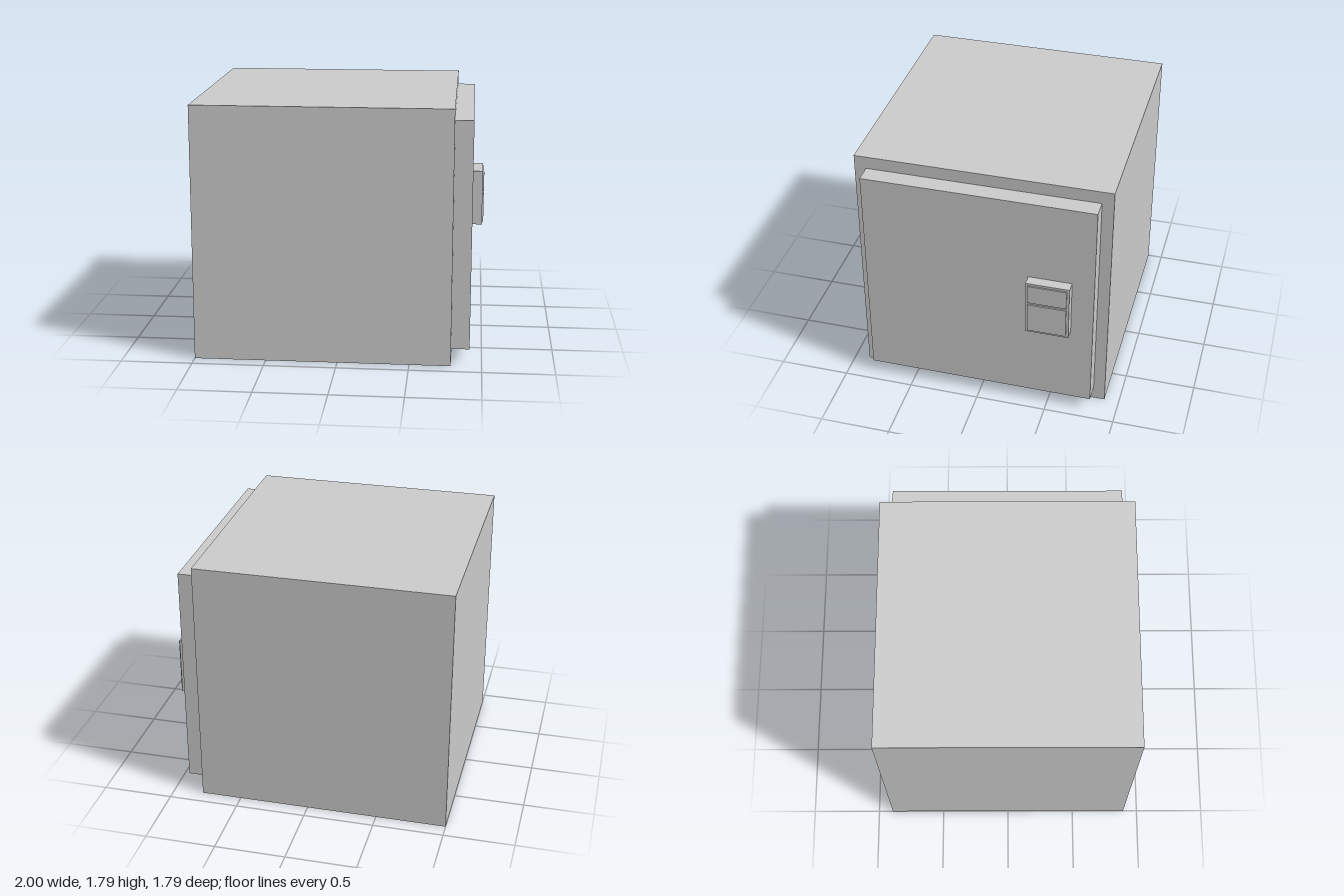
import * as THREE from 'three';

export function createModel() {
  const model = new THREE.Group();
  model.name = 'safe';
  const material = new THREE.MeshStandardMaterial({ color: 0xcccccc, flatShading: true });

  // Box given by its extents along each axis
  function addBox(name, [x0, x1], [y0, y1], [z0, z1]) {
    const mesh = new THREE.Mesh(new THREE.BoxGeometry(x1 - x0, y1 - y0, z1 - z0), material);
    mesh.position.set((x0 + x1) / 2, (y0 + y1) / 2, (z0 + z1) / 2);
    mesh.name = name;
    model.add(mesh);
  }

  // Main cabinet with the door standing proud of its side
  addBox('body', [-1, 0.787], [0, 1.793], [-0.895, 0.895]);
  addBox('door', [0.787, 0.915], [0.097, 1.703], [-0.813, 0.813]);

  // Lock housing with a display above a keypad
  addBox('lockHousing', [0.915, 0.99], [0.692, 1.107], [-0.658, -0.353]);
  addBox('display', [0.99, 1], [0.95, 1.09], [-0.64, -0.37]);
  addBox('keypad', [0.99, 1], [0.71, 0.933], [-0.64, -0.37]);

  return model;
}
